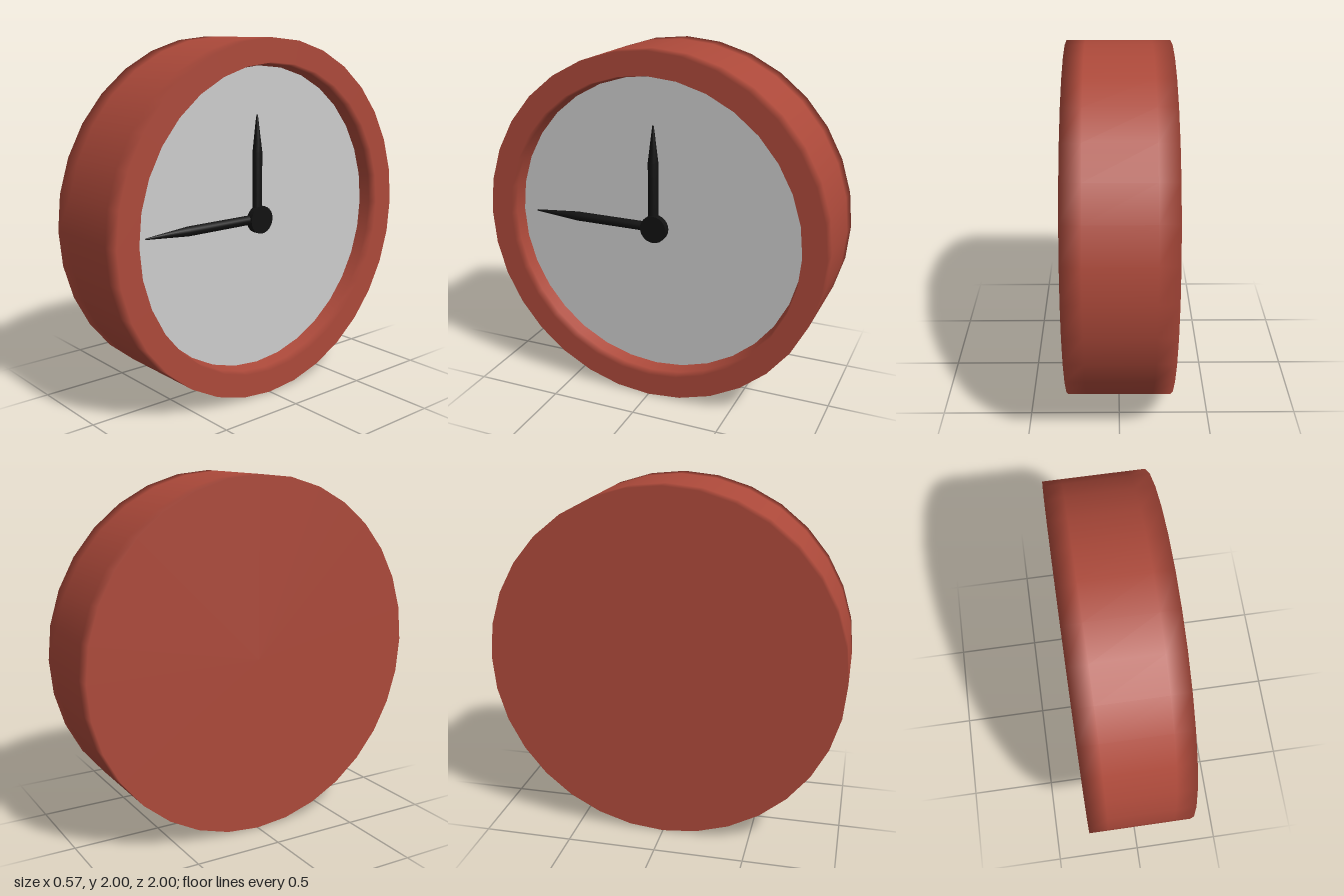
import * as THREE from 'three';

const HALF = 0.285; // half depth of the case
const FACE = 0.17; // position of the dial along x

const red = new THREE.MeshStandardMaterial({ color: 0xac493a, side: THREE.DoubleSide });
const grey = new THREE.MeshStandardMaterial({ color: 0xcccccc });
const black = new THREE.MeshStandardMaterial({ color: 0x111111 });

function lathe(points, segments) {
  return new THREE.LatheGeometry(points.map(([r, h]) => new THREE.Vector2(r, h)), segments);
}

function addPart(parent, name, geometry, material) {
  const mesh = new THREE.Mesh(geometry, material);
  mesh.name = name;
  parent.add(mesh);
  return mesh;
}

// Turned case: flat back, drum side, flat front rim and sloping inner wall
function caseGeometry() {
  const geometry = lathe([
    [0, -HALF], [1, -HALF], [1, -0.18], [1, 0.18],
    [1, HALF], [0.87, HALF], [0.862, 0.235], [0.85, FACE],
  ], 32);
  // Flat ends keep axial normals, so the side shades softly into them
  const { position, normal } = geometry.attributes;
  for (let i = 0; i < position.count; i++) {
    const h = position.getY(i);
    if (Math.abs(h) > HALF - 0.001) normal.setXYZ(i, 0, Math.sign(h), 0);
  }
  return geometry;
}

// Round rod with a long tapered point, growing along +y
function handGeometry(radius, shoulder, length) {
  return lathe([[radius, 0], [radius, shoulder], [0.004, length], [0, length]], 12);
}

export function createModel() {
  const clock = new THREE.Group();
  clock.name = 'wallClock';

  // Round parts are built along y, then turned to face +x
  const body = new THREE.Group();
  body.name = 'body';
  body.rotation.z = -Math.PI / 2;
  body.position.y = 1;
  clock.add(body);

  addPart(body, 'case', caseGeometry(), red);

  const dial = addPart(body, 'dial', new THREE.CircleGeometry(0.852, 32), grey);
  dial.rotation.x = -Math.PI / 2;
  dial.position.y = FACE;

  const hub = addPart(body, 'hub', new THREE.CylinderGeometry(0.078, 0.078, 0.045, 24), black);
  hub.position.y = FACE + 0.0175;

  // Hands, half sunk into the dial
  const hourHand = addPart(clock, 'hourHand', handGeometry(0.03, 0.38, 0.585), black);
  hourHand.position.set(FACE + 0.005, 1, 0.01);

  const minuteHand = addPart(clock, 'minuteHand', handGeometry(0.027, 0.49, 0.758), black);
  minuteHand.rotation.x = Math.PI / 2;
  minuteHand.position.set(FACE + 0.005, 1.003, 0);

  return clock;
}
